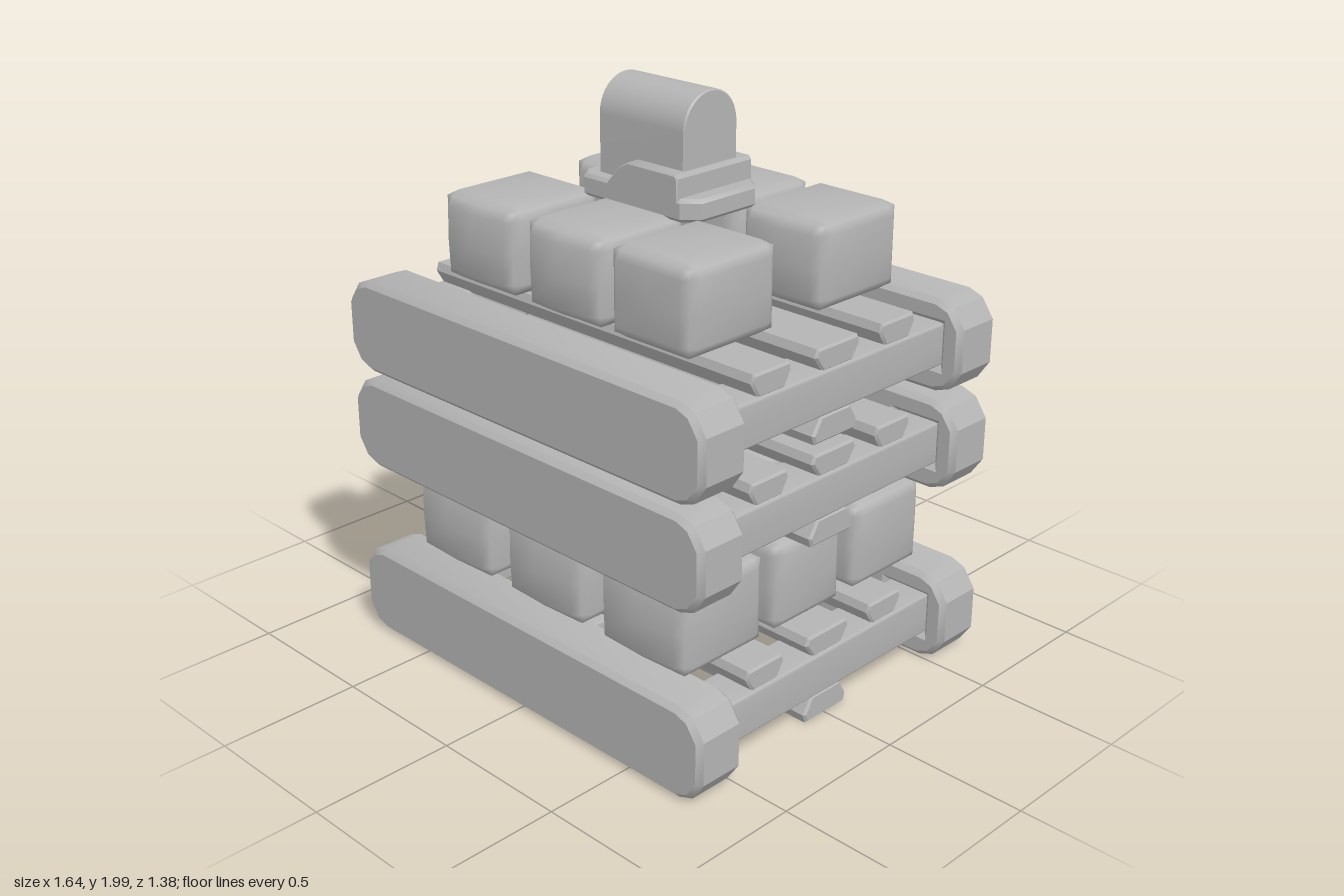
import * as THREE from 'three';
import { mergeVertices, toCreasedNormals } from 'three/addons/utils/BufferGeometryUtils.js';

const stone = new THREE.MeshStandardMaterial({ color: 0xb4b4b4 });
stone.name = 'plain grey';

const points = list => list.map(([x, y]) => new THREE.Vector2(x, y));

function add(parent, name, geometry, x = 0, y = 0, z = 0) {
  const mesh = new THREE.Mesh(geometry, stone);
  mesh.name = name;
  mesh.position.set(x, y, z);
  parent.add(mesh);
  return mesh;
}

// Extrude a profile along z, centred, with softened edges
function extrude(shape, depth, bevel) {
  const g = new THREE.ExtrudeGeometry(shape, {
    depth: depth - 2 * bevel, bevelEnabled: bevel > 0, bevelThickness: bevel,
    bevelSize: bevel, bevelOffset: -bevel, bevelSegments: 1, curveSegments: 16
  });
  g.translate(0, 0, -(depth - 2 * bevel) / 2);
  return toCreasedNormals(g, 0.6);
}

// Box with chamfered edges, smooth normals and optional pointed bulges per face
function roughBlock(w, h, d, r, bulge = {}) {
  const g = new THREE.BoxGeometry(2, 2, 2, 4, 4, 4);
  g.deleteAttribute('normal');
  g.deleteAttribute('uv');
  const half = [w / 2, h / 2, d / 2];
  const p = g.attributes.position;
  for (let i = 0; i < p.count; i++) {
    const u = [p.getX(i), p.getY(i), p.getZ(i)];
    const outer = u.filter(c => Math.abs(c) > 0.9).length;
    const v = u.map((c, k) => {
      const a = Math.abs(c);
      const size = a > 0.9 ? half[k] - (outer > 1 ? r * 0.4 : 0) : a > 0.4 ? half[k] - r : 0;
      return Math.sign(c) * size;
    });
    const peak = (a, b) => (1 - Math.abs(v[a]) / half[a]) * (1 - (v[b] / half[b]) ** 2);
    if (u[0] < -0.9) v[0] -= (bulge.left || 0) * peak(2, 1);
    if (u[0] > 0.9) v[0] += (bulge.right || 0) * peak(2, 1);
    if (u[2] < -0.9) v[2] -= (bulge.back || 0) * peak(0, 1);
    if (u[2] > 0.9) v[2] += (bulge.front || 0) * peak(0, 1);
    p.setXYZ(i, ...v);
  }
  const merged = mergeVertices(g);
  merged.computeVertexNormals();
  return merged;
}

// Side plank outline with rounded ends, optionally pierced by sockets
function plankShape(sockets) {
  const quarter = [[0.72, 0.16], [0.775, 0.14], [0.82, 0.075]];
  const mirror = (sx, sy) => quarter.map(([x, y]) => [x * sx, y * sy]);
  const shape = new THREE.Shape(points([
    ...mirror(1, -1), ...mirror(1, 1).reverse(), ...mirror(-1, 1), ...mirror(-1, -1).reverse()
  ]));
  for (const x of sockets) {
    shape.holes.push(new THREE.Path(points([
      [x - 0.083, -0.07], [x - 0.083, 0.078], [x + 0.083, 0.078], [x + 0.083, -0.07]
    ])));
  }
  return shape;
}

// Slat running along x with a keel-shaped cross-section
function slat(width, height, length) {
  const w = width / 2, h = height / 2;
  const shape = new THREE.Shape(points([
    [-w * 0.65, -h], [w * 0.65, -h], [w, h * 0.3], [w * 0.9, h], [-w * 0.9, h], [-w, h * 0.3]
  ]));
  return extrude(shape, length, 0.008).rotateY(Math.PI / 2);
}

function pallet(name, y, beamXs) {
  const group = new THREE.Group();
  group.name = name;
  group.position.y = y;
  add(group, 'frontPlank', extrude(plankShape([]), 0.19, 0.018), 0, 0.16, 0.595);
  add(group, 'backPlank', extrude(plankShape(beamXs), 0.19, 0.018), 0, 0.16, -0.595);
  // Beams end slightly inside the back sockets
  for (const x of beamXs) add(group, 'crossBeam', roughBlock(0.166, 0.152, 1.18, 0.012), x, 0.165, -0.06);
  for (const z of [-0.29, 0, 0.3]) add(group, 'topSlat', slat(z ? 0.175 : 0.21, 0.08, 1.46), 0, 0.275, z);
  const under = add(group, 'bottomSlat', slat(0.21, 0.09, 1.46), 0, 0.045, 0);
  under.rotation.x = Math.PI;
  return group;
}

// Block given by its x and z limits
function blockBetween(parent, name, [x0, x1], [z0, z1], y0, y1, bulge) {
  add(parent, name, roughBlock(x1 - x0, y1 - y0, z1 - z0, 0.045, bulge),
    (x0 + x1) / 2, (y0 + y1) / 2, (z0 + z1) / 2);
}

export function createModel() {
  const model = new THREE.Group();
  model.name = 'stackedPallets';

  model.add(pallet('bottomPallet', 0.01, [-0.655, 0, 0.655]));
  model.add(pallet('middlePallet', 0.65, [-0.655, 0.655]));
  model.add(pallet('topPallet', 1.0, [-0.655, 0.655]));

  // Lower layer of blocks, three by three
  const lower = new THREE.Group();
  lower.name = 'lowerBlocks';
  model.add(lower);
  [[-0.645, -0.26], [-0.19, 0.19], [0.26, 0.65]].forEach((xs, i) => {
    [[-0.58, -0.22], [-0.17, 0.17], [0.21, 0.58]].forEach((zs, k) => {
      blockBetween(lower, 'lowerBlock', xs, zs, 0.33, 0.65, {
        left: i === 0 ? 0.04 : 0, back: k === 0 ? 0.035 : 0, front: k === 2 ? 0.04 : 0
      });
    });
  });

  // Upper layer of blocks, two rows of three
  const upper = new THREE.Group();
  upper.name = 'upperBlocks';
  model.add(upper);
  const left = [-0.565, -0.21], middle = [-0.155, 0.195], right = [0.22, 0.57];
  const put = (xs, zs, bulge) => blockBetween(upper, 'upperBlock', xs, zs, 1.325, 1.625, bulge);
  put(left, [-0.485, -0.1], { back: 0.03, front: 0.03 });
  put(middle, [-0.49, -0.1], {});
  put(right, [-0.49, -0.1], { front: 0.03 });
  put(left, [0.09, 0.48], { back: 0.03, front: 0.035 });
  put(middle, [0.1, 0.485], { front: 0.04 });
  put(right, [0.09, 0.485], {});

  // Capstone: chamfered plate with a ramped step
  const plate = new THREE.Shape(points([
    [-0.25, -0.13], [-0.21, -0.17], [0.22, -0.17], [0.27, -0.12],
    [0.27, 0.12], [0.22, 0.17], [-0.21, 0.17], [-0.25, 0.13]
  ]));
  add(model, 'capPlate', extrude(plate, 0.075, 0.012).rotateX(-Math.PI / 2), 0, 1.65, 0);
  const ramp = new THREE.Shape(points([
    [-0.14, 1.64], [0.21, 1.64], [0.21, 1.75], [0.2, 1.762], [-0.01, 1.762], [-0.05, 1.74]
  ]));
  add(model, 'capRamp', extrude(ramp, 0.34, 0.005));

  // Round-topped stone on the cap
  const arch = new THREE.Shape();
  arch.moveTo(-0.12, 1.67);
  arch.lineTo(0.12, 1.67);
  arch.lineTo(0.12, 1.88);
  arch.absarc(0, 1.88, 0.12, 0, Math.PI, false);
  arch.closePath();
  add(model, 'archedStone', extrude(arch, 0.38, 0.005).rotateY(Math.PI / 2));

  return model;
}
